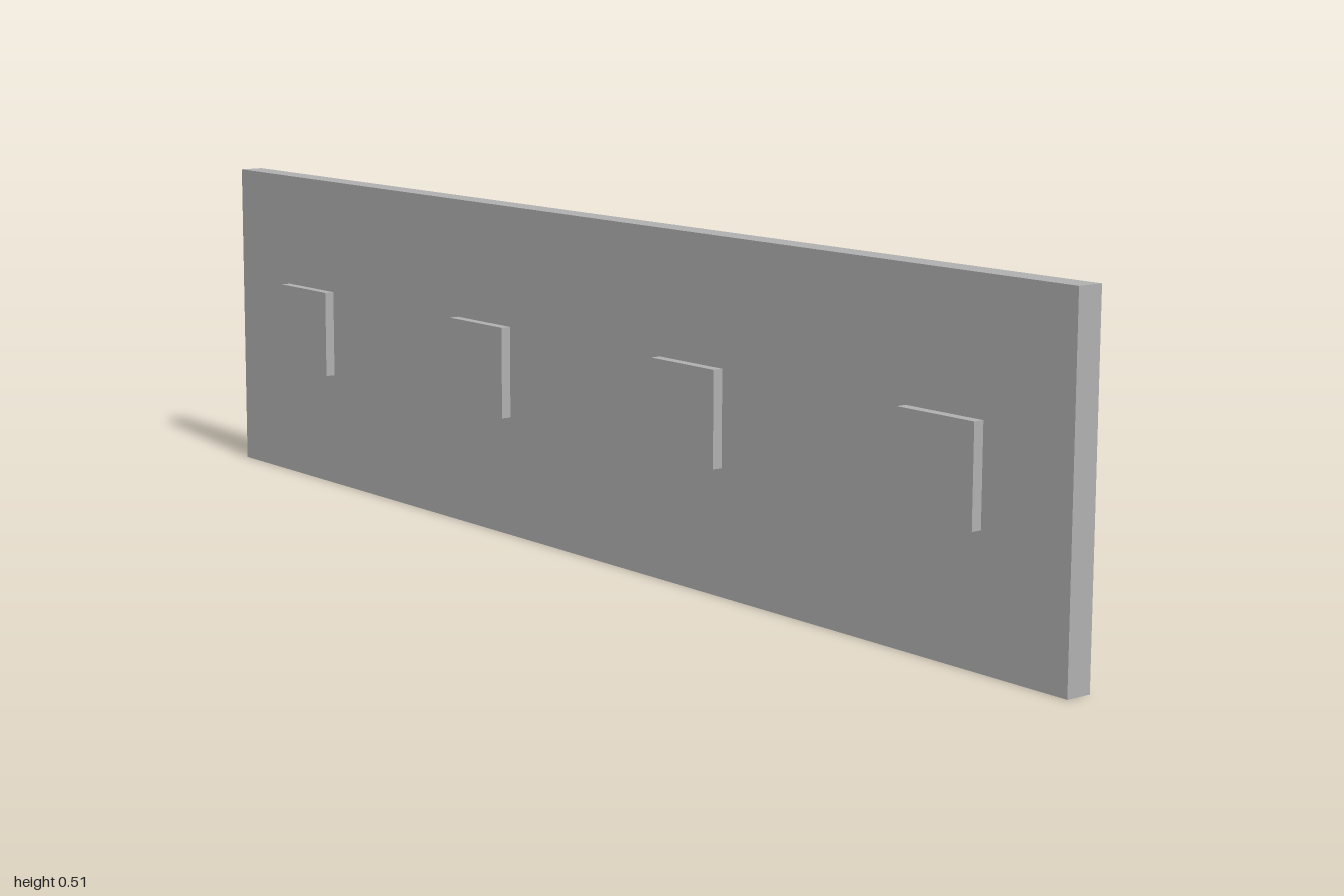
import * as THREE from 'three';

export function createModel() {
  const model = new THREE.Group();
  model.name = 'wallPanel';
  const grey = new THREE.MeshStandardMaterial({ color: 0xb0b0b0 });
  grey.name = 'plain grey';

  function addBox(name, width, height, depth, x, y, z) {
    const mesh = new THREE.Mesh(new THREE.BoxGeometry(width, height, depth), grey);
    mesh.name = name;
    mesh.position.set(x, y, z);
    model.add(mesh);
  }

  // Backing board
  const boardHeight = 0.515, boardDepth = 0.04, boardFront = 0.0122;
  addBox('backingBoard', 2, boardHeight, boardDepth, 0, boardHeight / 2, boardFront - boardDepth / 2);

  // Four evenly spaced square pads on the front face
  const padSize = 0.142, padDepth = 0.016, spacing = 0.515;
  for (let i = 0; i < 4; i++) {
    addBox(`pad${i + 1}`, padSize, padSize, padDepth,
      (i - 1.5) * spacing, boardHeight / 2, boardFront + padDepth / 2);
  }
  return model;
}
